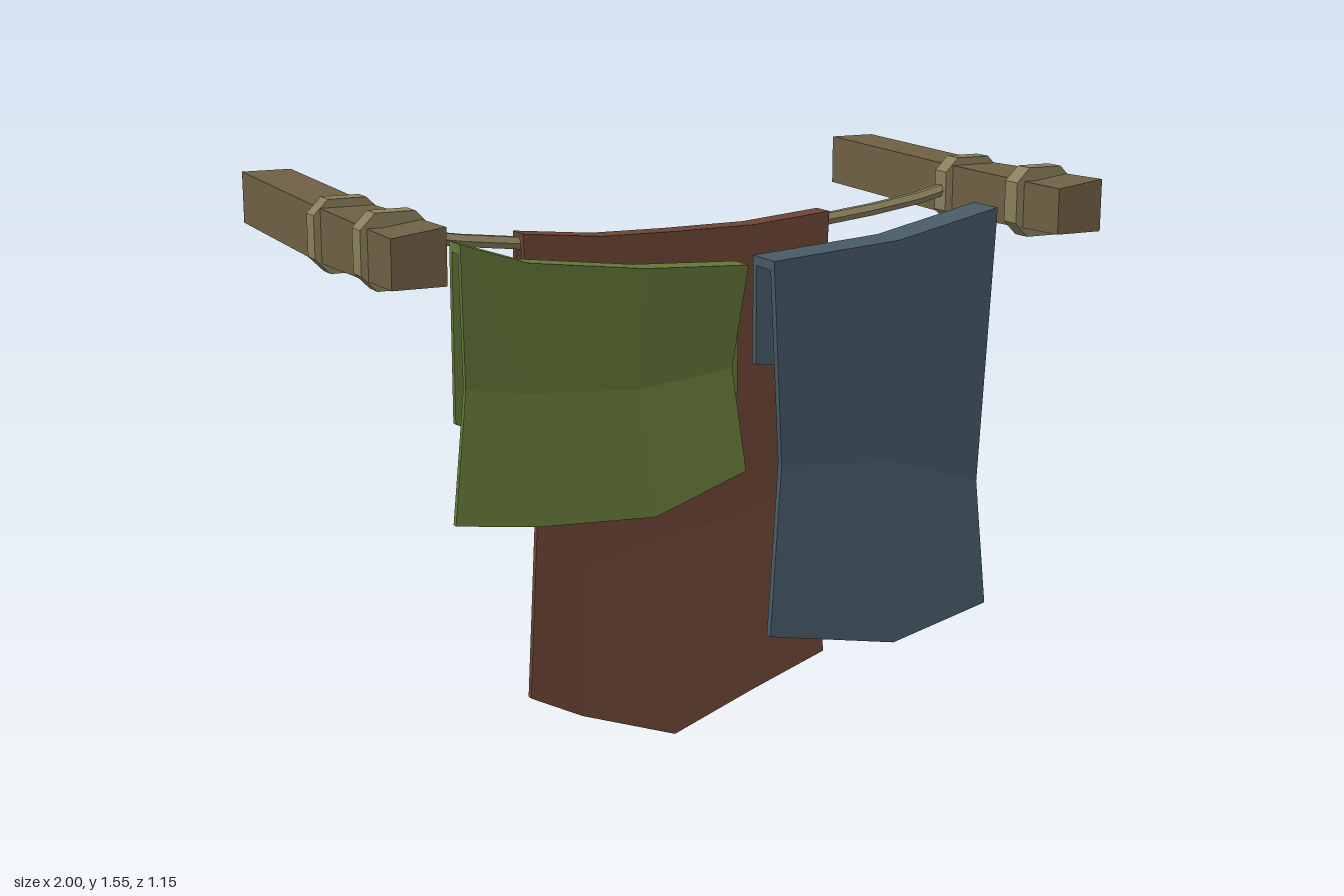
import * as THREE from 'three';

const mat = (name, color, extra = {}) => {
  const m = new THREE.MeshStandardMaterial({ color, flatShading: true, ...extra });
  m.name = name;
  return m;
};

// Folded cloth: a U-shaped section for each column, joined from -x to +x.
// Column: top, mid and low are [x, y] on the front panel; back is the rear hem height.
function clothGeometry({ zBack, zTop, zMid, zLow, t, columns }) {
  const rings = columns.map(({ top, mid, low, back }) => {
    const [x, y] = top;
    return [
      [x, back, zBack], [x, y, zBack], [x, y, zTop], [...mid, zMid], [...low, zLow],
      [...low, zLow - t], [...mid, zMid - t], [x, y - 0.025, zTop - t],
      [x, y - 0.025, zBack + t], [x, back, zBack + t],
    ];
  });
  const pos = [];
  const quad = (a, b, c, d) => pos.push(...a, ...b, ...c, ...a, ...c, ...d);
  const n = rings[0].length;
  for (let i = 0; i < rings.length - 1; i++) {
    const r = rings[i], s = rings[i + 1];
    for (let j = 0; j < n; j++) {
      const k = (j + 1) % n;
      quad(r[j], r[k], s[k], s[j]);
    }
  }
  // side edges
  const first = rings[0], last = rings[rings.length - 1];
  for (let k = 0; k < n / 2 - 1; k++) {
    quad(last[k], last[k + 1], last[n - 2 - k], last[n - 1 - k]);
    quad(first[n - 1 - k], first[n - 2 - k], first[k + 1], first[k]);
  }
  const g = new THREE.BufferGeometry();
  g.setAttribute('position', new THREE.Float32BufferAttribute(pos, 3));
  g.computeVertexNormals();
  return g;
}

// Beam that sags slightly in the middle, with an uneven front end
function beamGeometry() {
  const g = new THREE.BoxGeometry(0.135, 0.137, 1.15, 1, 1, 2);
  const p = g.attributes.position;
  for (let i = 0; i < p.count; i++) {
    const mid = Math.abs(p.getZ(i)) < 0.01;
    if (mid) {
      p.setY(i, p.getY(i) - 0.013);
      p.setZ(i, 0.04);
    } else if (p.getZ(i) > 0 && p.getX(i) < 0 && p.getY(i) > 0) {
      p.setY(i, p.getY(i) - 0.018);
    }
  }
  g.computeVertexNormals();
  return g;
}

// Eight-sided lashing around a beam
function bandGeometry() {
  const w = 0.0875, h = 0.092, c = 0.038, d = 0.055;
  const shape = new THREE.Shape([
    [w, h - c], [w - c, h], [c - w, h], [-w, h - c],
    [-w, c - h], [c - w, -h], [w - c, -h], [w, c - h],
  ].map(([x, y]) => new THREE.Vector2(x, y)));
  const g = new THREE.ExtrudeGeometry(shape, { depth: d, bevelEnabled: false });
  return g.translate(0, 0, -d / 2);
}

export function createModel() {
  const group = new THREE.Group();
  group.name = 'clothesline';
  const wood = mat('wood', 0x6e6044);
  const cord = mat('cord', 0x8a7f5c);
  const russet = mat('russet cloth', 0x6b4434, { side: THREE.DoubleSide });
  const green = mat('green cloth', 0x647838, { side: THREE.DoubleSide });
  const blue = mat('blue cloth', 0x465966, { side: THREE.DoubleSide });
  const add = (name, geometry, material, x = 0, y = 0, z = 0) => {
    const mesh = new THREE.Mesh(geometry, material);
    mesh.name = name;
    mesh.position.set(x, y, z);
    group.add(mesh);
    return mesh;
  };

  // Beams and their lashings
  const beam = beamGeometry(), band = bandGeometry();
  for (const [side, s] of [['left', 1], ['right', -1]]) {
    add(side + 'Beam', beam, wood, s * 0.915, 1.468, 0);
    add(side + 'FrontLashing', band, cord, s * 0.9125, 1.463, 0.392);
    add(side + 'BackLashing', band, cord, s * 0.9125, 1.452, 0.052);
  }

  // Sagging line
  const path = new THREE.CatmullRomCurve3(
    [[-0.9, 1.475], [-0.75, 1.435], [-0.55, 1.407], [-0.25, 1.38], [0, 1.375],
      [0.25, 1.38], [0.55, 1.407], [0.75, 1.435], [0.9, 1.47]]
      .map(([x, y]) => new THREE.Vector3(x, y, 0.049)));
  add('line', new THREE.TubeGeometry(path, 12, 0.018, 6), cord);

  // Hanging cloths
  add('longCloth', clothGeometry({
    zBack: 0.016, zTop: 0.083, zMid: 0.07, zLow: 0.09, t: 0.018,
    columns: [
      { top: [-0.45, 1.423], mid: [-0.415, 0.68], low: [-0.45, 0.175], back: 0.7 },
      { top: [-0.23, 1.402], mid: [-0.27, 0.52], low: [-0.3, 0.1], back: 0.61 },
      { top: [-0.02, 1.4], mid: [-0.02, 0.57], low: [-0.02, 0], back: 0.64 },
      { top: [0.22, 1.402], mid: [0.2, 0.6], low: [0.22, 0.09], back: 0.56 },
      { top: [0.45, 1.423], mid: [0.43, 0.7], low: [0.45, 0.17], back: 0.7 },
    ],
  }), russet);

  add('shortCloth', clothGeometry({
    zBack: 0.352, zTop: 0.422, zMid: 0.4, zLow: 0.418, t: 0.016,
    columns: [
      { top: [-0.755, 1.467], mid: [-0.74, 1.11], low: [-0.78, 0.78], back: 1.02 },
      { top: [-0.58, 1.41], mid: [-0.57, 1.085], low: [-0.56, 0.75], back: 0.95 },
      { top: [-0.27, 1.373], mid: [-0.28, 1.065], low: [-0.24, 0.735], back: 0.96 },
      { top: [0.018, 1.36], mid: [-0.015, 1.095], low: [0.018, 0.825], back: 1.02 },
    ],
  }), green);

  add('mediumCloth', clothGeometry({
    zBack: 0.332, zTop: 0.442, zMid: 0.422, zLow: 0.444, t: 0.019,
    columns: [
      { top: [0.08, 1.367], mid: [0.12, 0.83], low: [0.08, 0.375], back: 1.085 },
      { top: [0.45, 1.395], mid: [0.46, 0.8], low: [0.46, 0.302], back: 1.04 },
      { top: [0.75, 1.46], mid: [0.725, 0.715], low: [0.75, 0.373], back: 1.085 },
    ],
  }), blue);

  return group;
}
